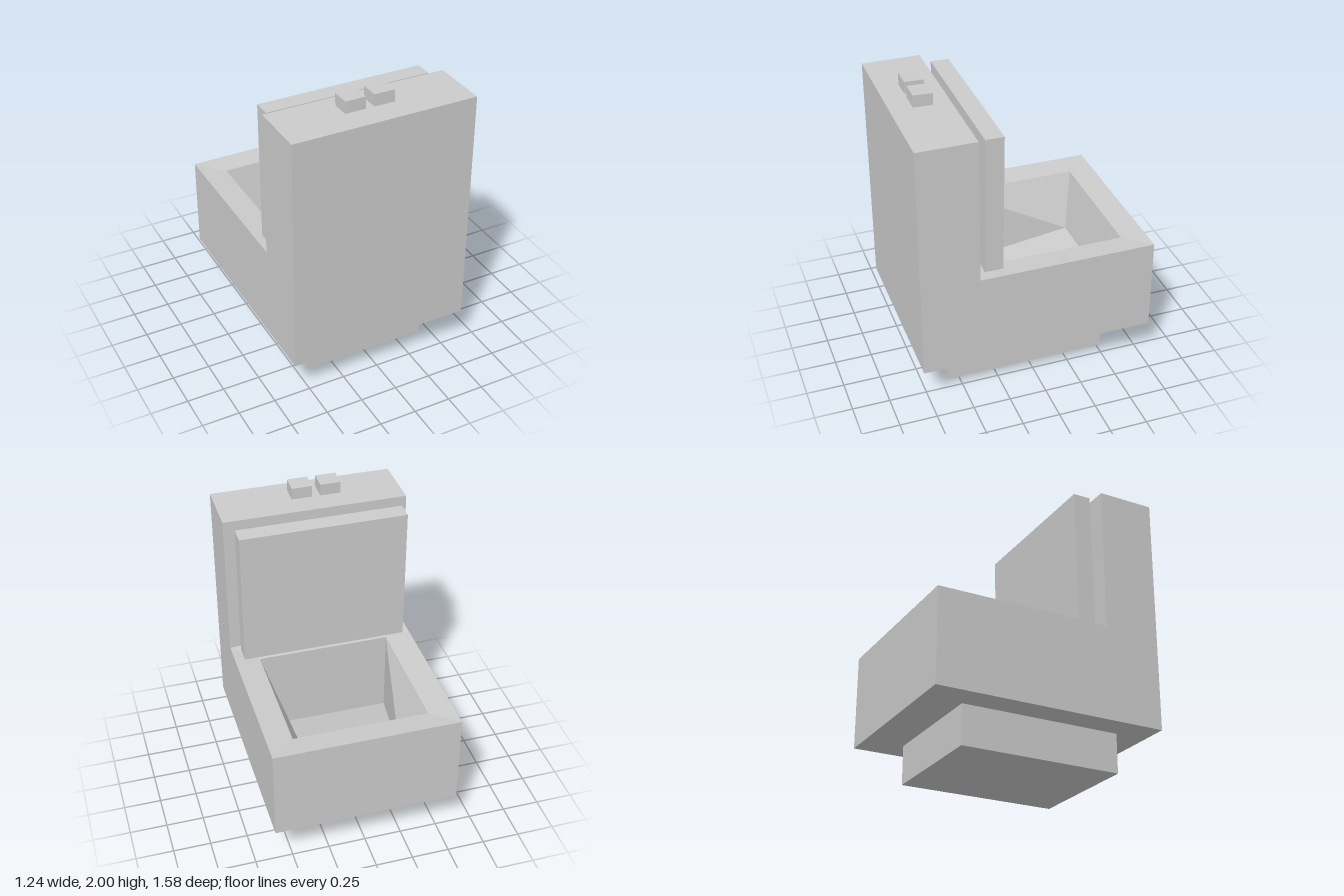
import * as THREE from 'three';

const mat = new THREE.MeshStandardMaterial({ color: 0xcccccc, flatShading: true });

function box(parent, name, size, pos, tilt = 0) {
  const m = new THREE.Mesh(new THREE.BoxGeometry(...size), mat);
  m.name = name;
  m.position.set(...pos);
  m.rotation.x = tilt;
  parent.add(m);
  return m;
}

// Four corners: the +z edge (half width w1) then the -z edge (half width w0)
function loop(z1, w1, y1, z0, w0 = w1, y0 = y1) {
  return [[-w1, y1, z1], [w1, y1, z1], [w0, y0, z0], [-w0, y0, z0]];
}

// L-shaped shell: lower block, tank, sloping rim and hollow basin
function bodyGeometry() {
  const pos = [];
  const quad = (a, b, c, d) => [a, b, c, a, c, d].forEach((p) => pos.push(...p));
  const strip = (a, b) => {
    for (let i = 0; i < 4; i++) {
      const j = (i + 1) % 4;
      // the last side turns its diagonal so that left and right mirror
      if (i === 3) quad(a[j], b[j], b[i], a[i]);
      else quad(a[i], a[j], b[j], b[i]);
    }
  };
  const bottom = loop(0.79, 0.62, 0.265, -0.79);
  const tankTop = loop(0.79, 0.62, 1.895, 0.4);
  const rimInner = loop(0.235, 0.45, 0.89, -0.63);
  const floor = loop(0.235, 0.45, 0.3, -0.545, 0.3, 0.52);

  strip(bottom, loop(0.79, 0.62, 0.905, -0.79));
  strip(loop(0.79, 0.62, 0.905, 0.4), tankTop);
  strip(loop(0.4, 0.62, 0.905, -0.79), rimInner);
  strip(rimInner, floor);
  quad(...floor);
  quad(...tankTop);
  quad(...bottom.slice().reverse());

  const g = new THREE.BufferGeometry();
  g.setAttribute('position', new THREE.Float32BufferAttribute(pos, 3));
  g.computeVertexNormals();
  return g;
}

export function createModel() {
  const model = new THREE.Group();
  model.name = 'toilet';

  const body = new THREE.Mesh(bodyGeometry(), mat);
  body.name = 'tankAndBowl';
  model.add(body);

  // Foot under the bowl
  box(model, 'foot', [0.855, 0.265, 1.096], [-0.002, 0.1325, 0.024]);

  // Raised lid, leaning slightly off the tank
  box(model, 'lid', [1.125, 0.948, 0.122], [-0.007, 1.388, 0.2835], -0.012);

  // Pair of flush buttons above the tank
  for (const x of [-0.136, 0.058]) {
    box(model, 'flushButton', [0.138, 0.08, 0.126], [x, 1.958, 0.591], -0.03);
  }
  return model;
}
